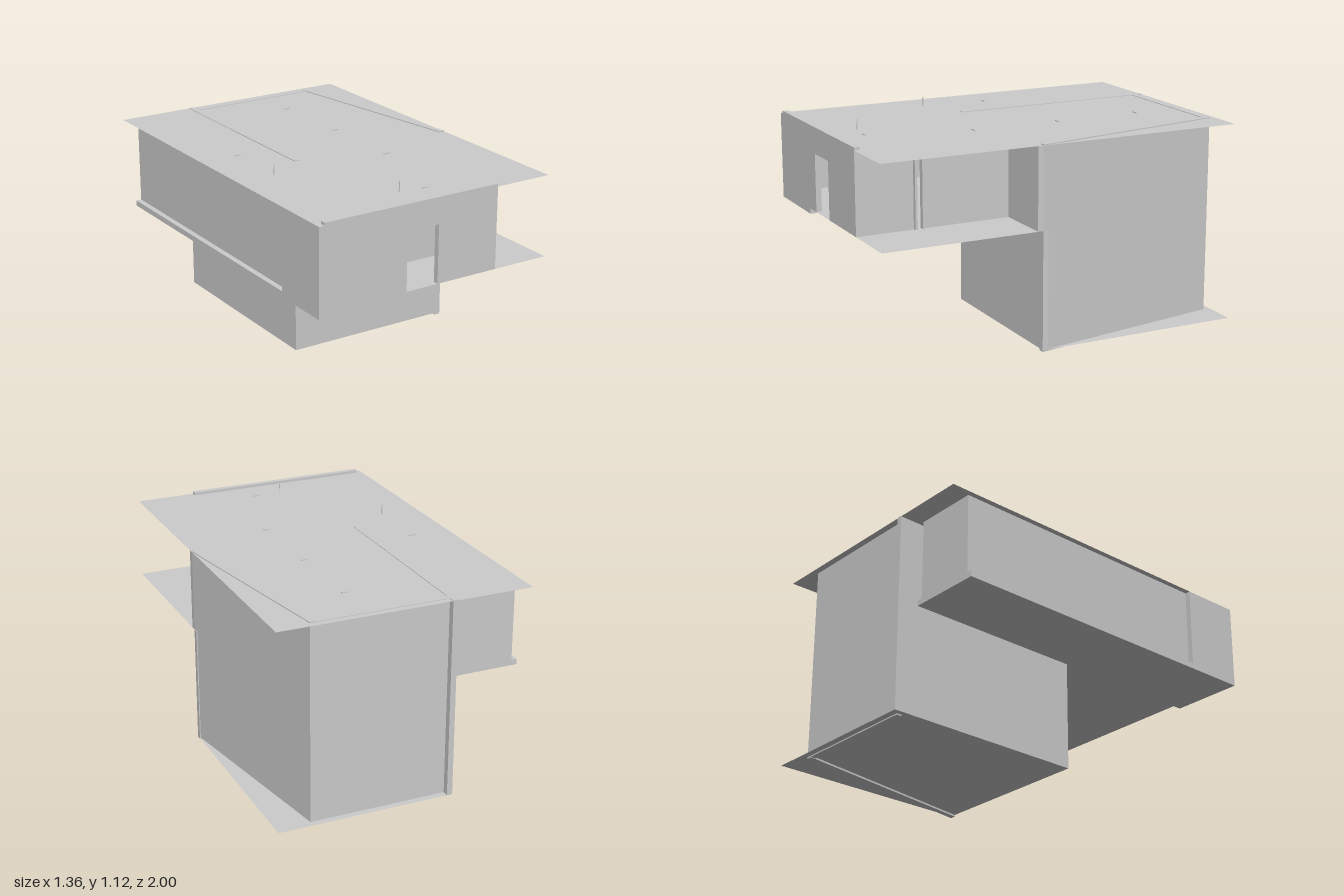
import * as THREE from 'three';

export function createModel() {
  const house = new THREE.Group();
  const mat = new THREE.MeshStandardMaterial({ color: 0xcccccc, flatShading: true, side: THREE.DoubleSide });

  function add(name, geometry) {
    const mesh = new THREE.Mesh(geometry, mat);
    mesh.name = name;
    house.add(mesh);
    return mesh;
  }
  // Box given by its limits on each axis
  function block(name, x0, x1, y0, y1, z0, z1) {
    const g = new THREE.BoxGeometry(x1 - x0, y1 - y0, z1 - z0);
    g.translate((x0 + x1) / 2, (y0 + y1) / 2, (z0 + z1) / 2);
    return add(name, g);
  }
  // Plan outline of [x, z] points raised from y0 to y1
  function prism(name, plan, y0, y1) {
    const shape = new THREE.Shape(plan.map(([x, z]) => new THREE.Vector2(x, -z)));
    const g = new THREE.ExtrudeGeometry(shape, { depth: y1 - y0, bevelEnabled: false });
    g.rotateX(-Math.PI / 2).translate(0, y0, 0);
    return add(name, g);
  }
  // Horizontal sheet without thickness
  function sheet(name, x0, x1, z0, z1, y) {
    const g = new THREE.PlaneGeometry(x1 - x0, z1 - z0).rotateX(-Math.PI / 2);
    g.translate((x0 + x1) / 2, y, (z0 + z1) / 2);
    return add(name, g);
  }

  const ROOF = 1.07, FLOOR = 0.635, BASE = 0.01;

  // Roof and floors
  sheet('roof', -0.68, 0.68, -1, 1, ROOF);
  sheet('groundFloor', -0.27, 0.68, -1, 0.13, BASE);
  sheet('terraceFloor', -0.27, 0.68, 0.13, 1, FLOOR);
  prism('upperFloor', [[-0.25, 0.1], [0.65, 0.1], [0.47, -0.94], [-0.25, -0.94]], FLOOR - 0.03, FLOOR);
  block('wingFloorSlab', -0.68, -0.27, 0.605, FLOOR, -0.88, 1);

  // Tall rear block: straight left, rear and front walls, and a slanted right wall
  block('leftWall', -0.27, -0.24, BASE, 1.073, -1, 0.13);
  block('rearWall', -0.24, 0.49, 0.003, 1.073, -0.965, -0.935);
  block('lowerFrontWall', -0.27, 0.68, BASE, FLOOR, 0.1, 0.13);
  prism('slantedWall', [[0.68, 0.13], [0.495, -0.965], [0.465, -0.965], [0.648, 0.13]], 0, 1.075);
  block('upperFrontWall', -0.27, 0.68, FLOOR, ROOF, 0.13, 0.16);

  // Upper front wall with its door opening
  const front = new THREE.Shape([
    [-0.65, FLOOR], [-0.18, FLOOR], [-0.18, 0.945], [0.005, 0.945],
    [0.005, FLOOR], [0.36, FLOOR], [0.36, 1.085], [-0.65, 1.085],
  ].map(([x, y]) => new THREE.Vector2(x, y)));
  add('frontWall', new THREE.ExtrudeGeometry(front, { depth: 0.03, bevelEnabled: false }).translate(0, 0, 0.97));

  // Wing walls
  block('wingFrontSideWall', -0.68, -0.65, FLOOR, ROOF, 0.67, 1);
  block('wingSideWall', -0.65, -0.635, FLOOR, ROOF, -0.88, 0.67);
  block('wingRearWall', -0.635, -0.3, FLOOR, ROOF, -0.88, -0.865);
  block('hallPartition', -0.65, 0.33, FLOOR, ROOF, 0.66, 0.69);

  // Terrace side: two wall panels with a narrow framed gap
  block('terraceWallFront', 0.33, 0.36, FLOOR, ROOF, 0.69, 0.97);
  block('terraceWallRear', 0.33, 0.36, FLOOR, ROOF, 0.16, 0.63);
  for (const z of [0.635, 0.675]) block('terracePost', 0.345, 0.375, FLOOR, ROOF, z, z + 0.012);

  // Ceiling light caps that just break through the roof
  for (const [x, z] of [[-0.47, -0.11], [0.2, 0.28], [0.2, -0.21], [0.19, -0.69], [0.05, 0.82]]) {
    block('lightCap', x - 0.018, x + 0.018, ROOF - 0.02, ROOF + 0.005, z - 0.004, z + 0.004);
  }
  // Thin roof pins
  for (const [x, z] of [[-0.09, 0.8], [-0.47, 0.256]]) {
    block('roofPin', x - 0.002, x + 0.002, ROOF, 1.125, z - 0.002, z + 0.002);
  }
  return house;
}
